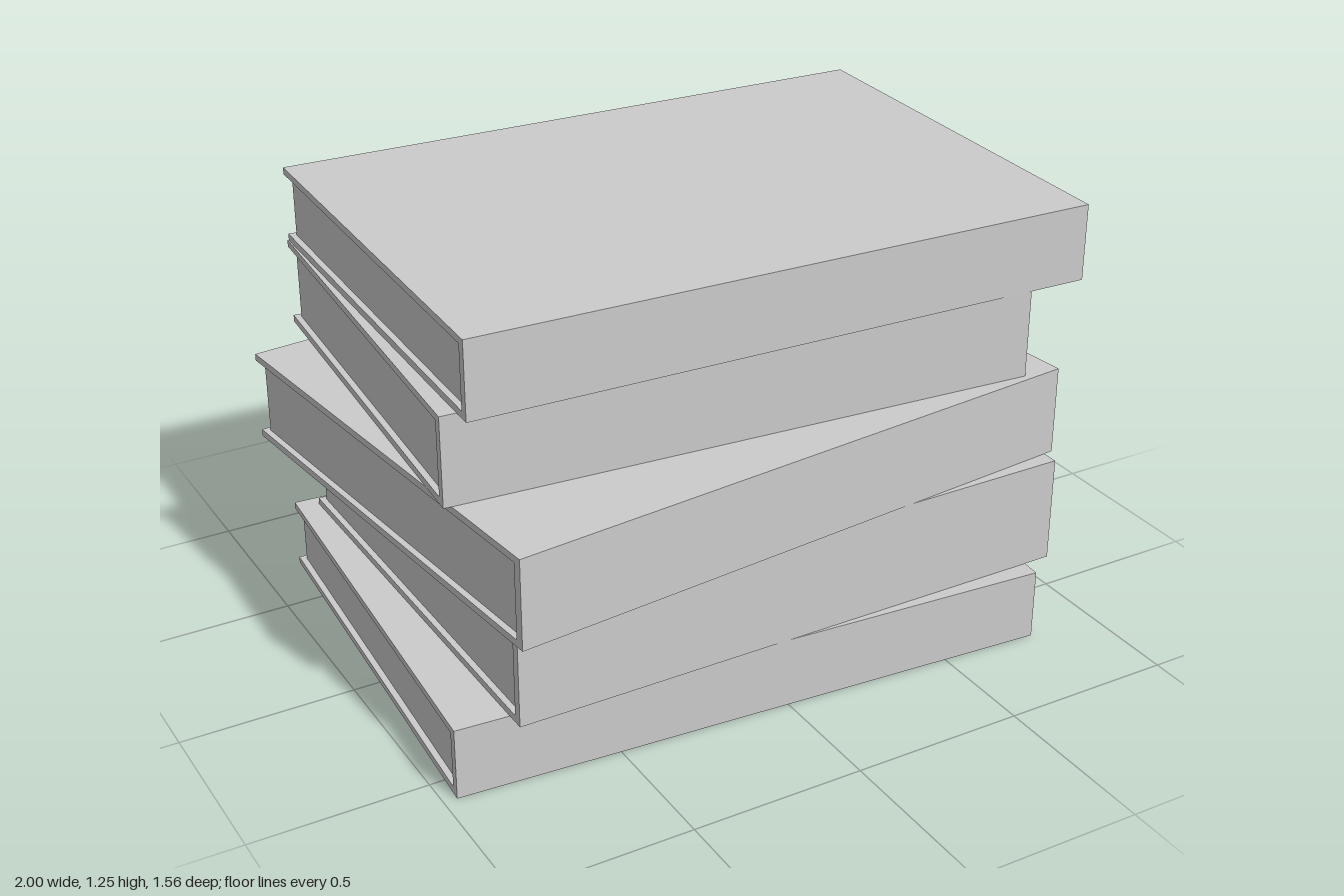
import * as THREE from 'three';

const BOARD = 0.02;  // cover board thickness
const SPINE = 0.026; // spine thickness
const GAP = 0.019;   // hollow between spine and pages
const INSET = 0.018; // cover overhang around the pages

const coverMaterial = new THREE.MeshStandardMaterial({ color: 0xcccccc, flatShading: true });
const pageMaterial = new THREE.MeshStandardMaterial({ color: 0xcccccc, flatShading: true, side: THREE.DoubleSide });

// Books from bottom to top: width, depth, bottom, top, centre x and z, turn in degrees
const BOOKS = [
  { w: 1.754, d: 1.305, y0: 0, y1: 0.208, x: -0.045, z: -0.006, turn: -3.7 },
  { w: 1.68, d: 1.325, y0: 0.208, y1: 0.518, x: 0.026, z: -0.012, turn: 0.37 },
  { w: 1.76, d: 1.38, y0: 0.518, y1: 0.776, x: -0.05, z: 0, turn: 6 },
  { w: 1.7, d: 1.215, y0: 0.776, y1: 1.03, x: -0.017, z: -0.08, turn: -4 },
  { w: 1.82, d: 1.27, y0: 1.03, y1: 1.25, x: 0.068, z: -0.075, turn: -1.95 },
];

// Two boards and the spine as one C-shaped section, spine facing +z
function makeCover(w, d, h) {
  const section = new THREE.Shape([
    [-d / 2, 0], [d / 2, 0], [d / 2, BOARD], [-d / 2 + SPINE, BOARD],
    [-d / 2 + SPINE, h - BOARD], [d / 2, h - BOARD], [d / 2, h], [-d / 2, h],
  ].map(([a, b]) => new THREE.Vector2(a, b)));
  const geometry = new THREE.ExtrudeGeometry(section, { depth: w, bevelEnabled: false });
  geometry.translate(0, 0, -w / 2).rotateY(Math.PI / 2);
  const cover = new THREE.Mesh(geometry, coverMaterial);
  cover.name = 'cover';
  return cover;
}

// Three page edges, open towards the spine
function makePages(w, d, h) {
  const pages = new THREE.Group();
  pages.name = 'pages';
  const height = h - 2 * BOARD;
  const width = w - 2 * INSET;
  const back = -d / 2 + INSET;
  const front = d / 2 - SPINE - GAP;
  const addEdge = (name, length, x, z, angle) => {
    const edge = new THREE.Mesh(new THREE.PlaneGeometry(length, height), pageMaterial);
    edge.name = name;
    edge.position.set(x, h / 2, z);
    edge.rotation.y = angle;
    pages.add(edge);
  };
  addEdge('foreEdge', width, 0, back, Math.PI);
  addEdge('leftPageEdge', front - back, width / 2, (front + back) / 2, Math.PI / 2);
  addEdge('rightPageEdge', front - back, -width / 2, (front + back) / 2, -Math.PI / 2);
  return pages;
}

export function createModel() {
  const stack = new THREE.Group();
  stack.name = 'bookStack';
  BOOKS.forEach(({ w, d, y0, y1, x, z, turn }, i) => {
    const book = new THREE.Group();
    book.name = `book${i + 1}`;
    book.add(makeCover(w, d, y1 - y0), makePages(w, d, y1 - y0));
    book.position.set(x, y0, z);
    book.rotation.y = THREE.MathUtils.degToRad(turn);
    stack.add(book);
  });
  return stack;
}
